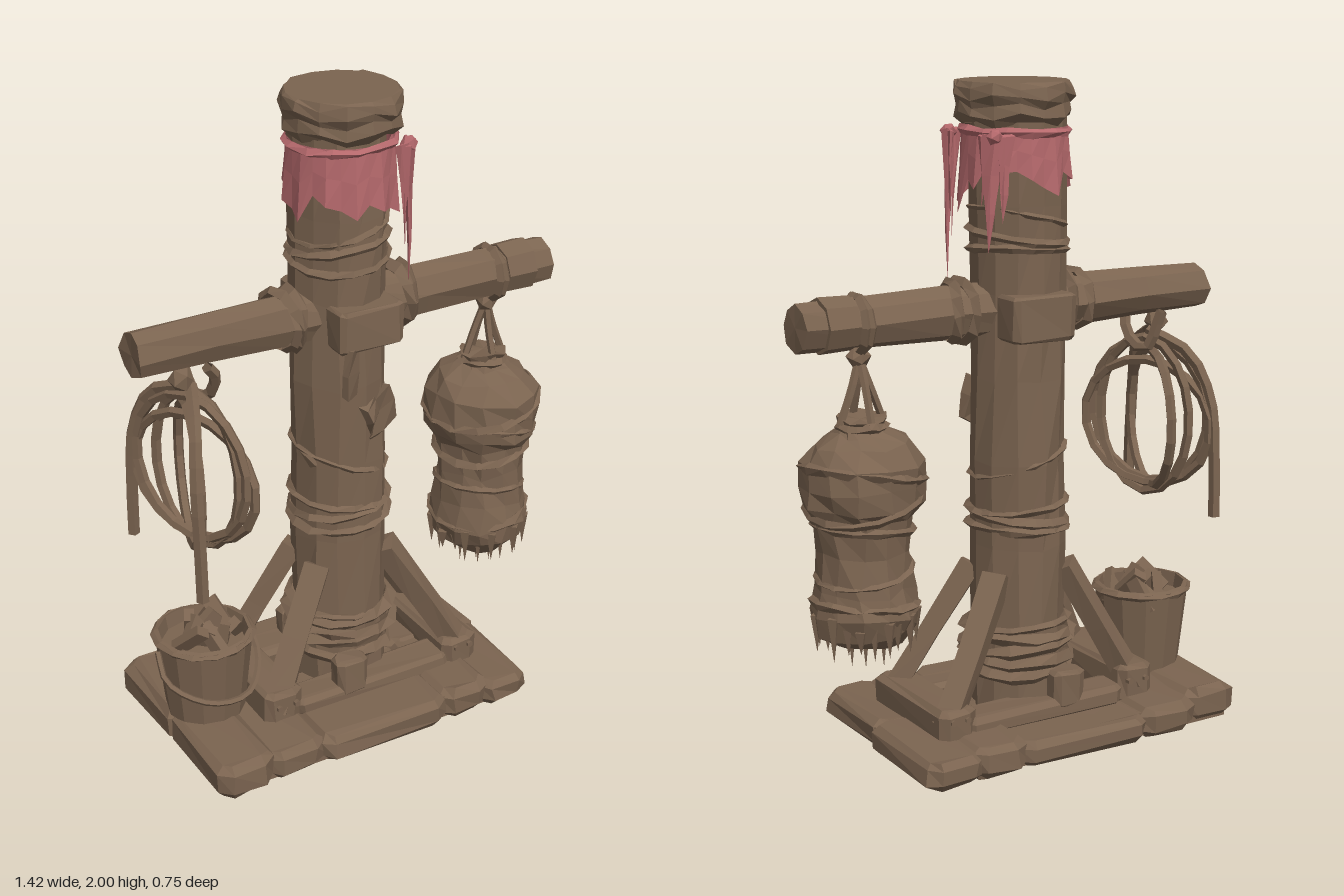
import * as THREE from 'three';

const V = (x, y, z) => new THREE.Vector3(x, y, z);

export function createModel() {
  const root = new THREE.Group();
  root.name = 'trainingPost';
  const wood = new THREE.MeshStandardMaterial({ color: 0x7b6450, flatShading: true, side: THREE.DoubleSide });
  wood.name = 'weathered brown';
  const cloth = new THREE.MeshStandardMaterial({ color: 0xb5696c, flatShading: true, side: THREE.DoubleSide });
  cloth.name = 'faded red';

  const add = (name, geo, pos = [0, 0, 0], rot = [0, 0, 0], mat = wood) => {
    const m = new THREE.Mesh(geo, mat);
    m.name = name;
    m.position.set(...pos);
    m.rotation.set(...rot);
    root.add(m);
    return m;
  };
  // Repeatable noise in -1..1 taken from a position, so shared corners stay together
  const noise = (x, y, z, k) => {
    const r = (v) => Math.round(v * 500) / 500 + 0;
    const s = Math.sin(r(x) * 127.1 + r(y) * 311.7 + r(z) * 74.7 + k * 19.19) * 43758.5453;
    return (s - Math.floor(s)) * 2 - 1;
  };
  const rough = (geo, amount, k = 1) => {
    const p = geo.attributes.position;
    for (let i = 0; i < p.count; i++) {
      const [x, y, z] = [p.getX(i), p.getY(i), p.getZ(i)];
      p.setXYZ(i, x + amount * noise(x, y, z, k), y + amount * noise(x, y, z, k + 1), z + amount * noise(x, y, z, k + 2));
    }
    geo.computeVertexNormals();
    return geo;
  };
  // Hewn block: outline with clipped corners, rising to a smaller top
  const block = (name, x0, x1, y0, y1, z0, z1, cut = 0.02, k = 1) => {
    const w = (x1 - x0) / 2 - cut, d = (z1 - z0) / 2 - cut;
    const s = new THREE.Shape([
      [-w, -d + cut], [-w + cut, -d], [w - cut * 1.5, -d], [w, -d + cut],
      [w, d - cut], [w - cut, d], [-w + cut * 1.5, d], [-w, d - cut],
    ].map(([x, y]) => new THREE.Vector2(x, y)));
    const g = new THREE.ExtrudeGeometry(s, {
      depth: y1 - y0 - cut * 2, bevelEnabled: true, bevelSize: cut, bevelThickness: cut, bevelSegments: 1,
    });
    g.rotateX(-Math.PI / 2);
    g.translate(0, cut, 0);
    rough(g, cut * 0.3, k);
    return add(name, g, [(x0 + x1) / 2, y0, (z0 + z1) / 2]);
  };
  // Square timber between two points
  const timber = (name, a, b, w, d) => {
    const m = add(name, rough(new THREE.BoxGeometry(w, a.distanceTo(b), d, 1, 2, 1), 0.006));
    m.position.copy(a).lerp(b, 0.5);
    m.quaternion.setFromUnitVectors(V(0, 1, 0), b.clone().sub(a).normalize());
    return m;
  };
  const rope = (name, pts, r, closed = false, seg = 16, mat = wood) =>
    add(name, new THREE.TubeGeometry(new THREE.CatmullRomCurve3(pts, closed), seg, r, 5, closed), [0, 0, 0], [0, 0, 0], mat);
  // Horizontal wrap around an upright part
  const wrap = (name, x, y, z, R, r, tilt = 0, roll = 0, mat = wood) => {
    const g = new THREE.TorusGeometry(R, r, 4, 14).rotateX(Math.PI / 2);
    return add(name, rough(g, r * 0.35, y * 10), [x, y, z], [tilt, 0, roll], mat);
  };

  // Stone base: slabs in two rows with a core underneath
  add('baseCore', new THREE.BoxGeometry(1.04, 0.075, 0.66), [-0.09, 0.04, 0]);
  [[-0.65, -0.46, 0.11], [-0.48, -0.28, 0.095], [-0.3, 0.16, 0.088], [0.14, 0.32, 0.1], [0.28, 0.48, 0.09]].forEach(([a, b, h], i) => {
    block('frontSlab', a, i === 4 ? 0.46 : b, 0, h, -0.02, 0.365 - (i % 2) * 0.01, 0.022, i);
    block('backSlab', a, b, 0, h - 0.004 * (i % 3), i === 0 ? -0.345 : -0.37, 0.03, 0.022, i + 7);
  });

  // Raised foot frame
  block('rightFootBeam', -0.41, -0.28, 0.07, 0.19, -0.23, 0.2, 0.015, 3);
  block('leftFootBeam', 0.24, 0.365, 0.07, 0.175, -0.23, 0.2, 0.015, 4);
  block('frontSill', -0.3, 0.27, 0.07, 0.135, 0.08, 0.2, 0.015, 5);
  block('backSill', -0.3, 0.27, 0.07, 0.135, -0.23, -0.1, 0.015, 6);
  for (const z of [0.16, -0.19]) block('footWedge', -0.15, -0.04, 0.1, 0.22, z - 0.04, z + 0.04, 0.012, z);
  for (const x of [-0.37, -0.31, 0.28, 0.33])
    for (const z of [0.2, -0.23])
      add('peg', new THREE.CylinderGeometry(0.01, 0.01, 0.02, 6), [x, 0.145, z], [Math.PI / 2, 0, 0]);

  // Four diagonal braces
  for (const s of [1, -1])
    for (const x of [[0.09, 0.33], [-0.15, -0.36]])
      timber('brace', V(x[0], 0.52, s * 0.075 - 0.015), V(x[1], 0.11, s * 0.17 - 0.015), 0.065, 0.075);

  // Main post and cap
  const post = new THREE.CylinderGeometry(0.145, 0.152, 1.82, 12, 7);
  add('post', rough(post, 0.009, 2), [-0.028, 0.99, -0.018]);
  const capProfile = [[0, 1.875], [0.15, 1.875], [0.174, 1.9], [0.168, 1.93], [0.181, 1.955], [0.176, 1.985], [0.165, 1.997], [0, 1.998]]
    .map(([r, y]) => new THREE.Vector2(r, y));
  const cap = new THREE.LatheGeometry(capProfile, 14);
  const cp = cap.attributes.position;
  for (let i = 0; i < cp.count; i++) {
    const y = cp.getY(i), a = Math.atan2(cp.getX(i), cp.getZ(i));
    if (y < 1.99) {
      cp.setY(i, y + 0.012 * Math.sin(a * 5 + y * 30));
      const k = 1 + 0.025 * Math.sin(a * 7 + y * 60);
      cp.setX(i, cp.getX(i) * k);
      cp.setZ(i, cp.getZ(i) * k);
    }
  }
  add('postCap', cap, [-0.018, 0, -0.012]);

  // Rope bindings on the post: height, radius, thickness, tilts
  [[0.2, 0.156, 0.02, 0.03, 0.02], [0.25, 0.162, 0.022, -0.05, 0.05], [0.285, 0.165, 0.02, 0.06, -0.07], [0.32, 0.16, 0.02, 0, 0.06],
    [0.345, 0.155, 0.014, 0.08, -0.03], [0.65, 0.15, 0.014, 0.05, 0.08], [0.69, 0.152, 0.014, -0.06, 0.12], [0.72, 0.15, 0.012, 0.05, -0.08],
    [0.86, 0.15, 0.01, 0.1, -0.28], [1.5, 0.148, 0.012, 0.1, 0.08], [1.545, 0.15, 0.013, -0.1, 0.12], [1.6, 0.147, 0.009, 0.05, 0.25],
  ].forEach(([y, R, r, t, o]) => wrap('postBinding', -0.028, y, -0.018, R, r, t, o));
  add('splinter', new THREE.ConeGeometry(0.016, 0.09, 4), [-0.185, 0.9, 0.06], [0.2, 0, 0.7]);
  add('barkFlap', rough(new THREE.BoxGeometry(0.13, 0.13, 0.03, 2, 2, 1), 0.015), [0.03, 1.02, 0.117], [0, 0.35, 0.4]);

  // Crossbeam in two tapered halves, with lashings
  for (const s of [1, -1]) {
    const half = new THREE.CylinderGeometry(0.07, 0.085, 0.7, 8, 3);
    add('crossbeam', rough(half, 0.006, s), [s * 0.355, 1.328, -0.01], [0, 0.12, -s * (Math.PI / 2)]).rotation.y = 0;
    [[0.18, 0.085, 0.02, 0.1], [0.215, 0.086, 0.016, -0.2]].forEach(([x, R, r, t]) =>
      add('beamLashing', rough(new THREE.TorusGeometry(R, r, 4, 10), 0.005), [s * x - 0.015, 1.33, -0.01], [0, Math.PI / 2 + t * s, 0]));
  }
  add('beamBand', new THREE.CylinderGeometry(0.08, 0.083, 0.1, 8), [0.585, 1.33, -0.01], [0, 0, Math.PI / 2]);
  block('frontBracket', -0.125, 0.09, 1.255, 1.385, 0.05, 0.172, 0.01, 2);
  block('backBracket', -0.125, 0.09, 1.245, 1.385, -0.2, -0.07, 0.01, 4);
  timber('hangingStrap', V(-0.085, 1.27, 0.158), V(-0.09, 1.11, 0.14), 0.045, 0.025);

  // Neck cloth: open ring with a ragged lower edge
  const cols = 24, drop = [0.17, 0.2, 0.23, 0.15, 0.1, 0.12, 0.17, 0.13, 0.16, 0.2, 0.14, 0.18];
  const ring = new THREE.CylinderGeometry(0.157, 0.168, 1, cols, 2, true);
  const rp = ring.attributes.position;
  for (let i = 0; i < rp.count; i++) {
    const c = i % (cols + 1) % cols, t = 0.5 - rp.getY(i);
    rp.setY(i, 1.865 - t * (drop[Math.floor(c / 2) % 12] + (c % 2) * 0.025));
    const k = 1 + 0.045 * t * (c % 2 ? 1 : -1);
    rp.setX(i, rp.getX(i) * k);
    rp.setZ(i, rp.getZ(i) * k);
  }
  ring.computeVertexNormals();
  add('neckCloth', ring, [-0.022, 0, -0.012], [0, 0, 0], cloth);
  wrap('clothBand', -0.022, 1.852, -0.012, 0.16, 0.013, 0, 0.03, cloth);

  // Knots with pointed tails
  const tail = (x, y, z, len, w, yaw, lean) => {
    const g = new THREE.ConeGeometry(w, len, 5, 3).rotateX(Math.PI).translate(0, -len / 2, 0).scale(1, 1, 0.35);
    add('clothTail', rough(g, 0.005), [x, y, z], [0, yaw, lean], cloth);
  };
  for (const s of [1, -1]) {
    const z = s * 0.13 - 0.01;
    add('clothKnot', rough(new THREE.IcosahedronGeometry(0.027, 0), 0.004), [0.125, 1.845, z], [0, 0, 0], cloth);
    const long = s > 0 ? 0.44 : 0.34;
    tail(0.125, 1.85, z, long, 0.042, s * 0.75, 0.06);
    tail(0.1, 1.85, z + s * 0.015, long * 0.75, 0.03, s * 0.3, 0.03);
    tail(0.14, 1.85, z - s * 0.035, long * 0.6, 0.028, s * 1.3, 0.03);
  }

  // Hanging sack with bulging shoulders
  const sx = 0.51, sz = -0.03;
  const sackProfile = [[0, 0.39], [0.1, 0.375], [0.145, 0.42], [0.16, 0.48], [0.145, 0.55], [0.14, 0.66], [0.145, 0.76], [0.175, 0.8],
    [0.18, 0.86], [0.18, 0.93], [0.14, 0.985], [0.085, 1.015], [0.06, 1.035], [0.075, 1.055], [0, 1.06]].map(([r, y]) => new THREE.Vector2(r, y));
  add('sack', rough(new THREE.LatheGeometry(sackProfile, 12), 0.011, 5), [sx, 0, sz]);
  [[0.5, 0.152, 0.014, 0.1], [0.6, 0.142, 0.01, -0.15], [0.73, 0.145, 0.014, 0.12], [0.81, 0.172, 0.014, -0.2], [0.89, 0.178, 0.014, 0.2], [1.03, 0.065, 0.016, 0]]
    .forEach(([y, R, r, t]) => wrap('sackBinding', sx, y, sz, R, r, t * 0.6, t));
  for (let i = 0; i < 22; i++) {
    const a = i * Math.PI / 11, R = i % 2 ? 0.15 : 0.135, len = 0.1 + 0.04 * noise(i, 2, 3, 1);
    add('sackFringe', new THREE.ConeGeometry(0.02, len, 4).rotateX(Math.PI), [sx + R * Math.sin(a), 0.42, sz + R * Math.cos(a)]);
  }
  for (const [dx, dz] of [[0, 0], [0.03, 0.03], [-0.05, -0.02]])
    add('sackStraw', new THREE.ConeGeometry(0.015, 0.12, 4).rotateX(Math.PI), [sx + dx, 0.35, sz + dz]);

  // Sack hanger
  for (const [dx, dz] of [[0.07, 0], [-0.07, 0], [0, 0.06], [0, -0.06]])
    rope('sackCord', [V(sx, 1.23, -0.02), V(sx + dx * 0.45, 1.14, sz + dz * 0.45), V(sx + dx, 1.04, sz + dz)], 0.012, false, 5);
  add('hangerKnot', rough(new THREE.IcosahedronGeometry(0.035, 0), 0.006), [sx, 1.23, -0.02]);
  for (const t of [0.12, -0.12])
    add('hangerLoop', new THREE.TorusGeometry(0.08, 0.014, 4, 10), [sx, 1.325, -0.01], [0, Math.PI / 2 + t, 0]);

  // Coiled rope under the beam
  [[0.08, 0.2, 0.23, -0.54], [0.05, 0.17, 0.25, -0.52], [-0.06, 0.19, 0.22, -0.545], [0.09, 0.215, 0.2, -0.53]].forEach(([ax, az, ay, cx], j) => {
    const pts = [];
    for (let i = 0; i < 12; i++) {
      const a = i * Math.PI / 6;
      pts.push(V(cx + ax * Math.sin(a), 0.94 + ay * Math.cos(a) - j * 0.012, az * Math.sin(a)));
    }
    rope('ropeCoil', pts, 0.016, true, 18);
  });
  for (const s of [1, -1])
    rope('ropeEnd', [V(-0.53, 1.2, 0), V(-0.59, 1.14, s * 0.14), V(-0.625, 1.0, s * 0.205), V(-0.63, 0.8, s * 0.225), V(-0.63, 0.63, s * 0.23)], 0.019, false, 10);
  rope('coilTie', [V(-0.51, 1.28, 0.07), V(-0.48, 1.24, 0.06), V(-0.48, 1.17, 0.02), V(-0.5, 1.15, -0.03), V(-0.53, 1.27, -0.07)], 0.018, false, 8);
  add('coilKnot', rough(new THREE.IcosahedronGeometry(0.04, 0), 0.006), [-0.56, 1.225, 0]);

  // Bucket filled with scraps
  const bx = -0.52;
  const bucketProfile = [[0, 0.1], [0.122, 0.1], [0.152, 0.37], [0.138, 0.375], [0.13, 0.33], [0, 0.33]].map(([r, y]) => new THREE.Vector2(r, y));
  add('bucket', new THREE.LatheGeometry(bucketProfile, 12), [bx, 0, 0]);
  wrap('bucketRim', bx, 0.362, 0, 0.151, 0.011);
  rope('bucketHandle', [V(bx - 0.155, 0.34, 0), V(bx - 0.16, 0.27, 0.07), V(bx - 0.06, 0.21, 0.15), V(bx + 0.07, 0.2, 0.15), V(bx + 0.15, 0.26, 0.07), V(bx + 0.155, 0.34, 0)], 0.01);
  for (let i = 0; i < 11; i++) {
    const a = i * 2.4, r = 0.03 + 0.0065 * i;
    add('bucketScrap', new THREE.BoxGeometry(0.045, 0.12, 0.03), [bx + 0.02 + r * Math.cos(a), 0.365 + 0.02 * noise(i, 5, 1, 2), r * Math.sin(a)],
      [0.6 * Math.sin(a * 3), a, 0.7 * Math.cos(a * 2)]);
  }
  return root;
}
